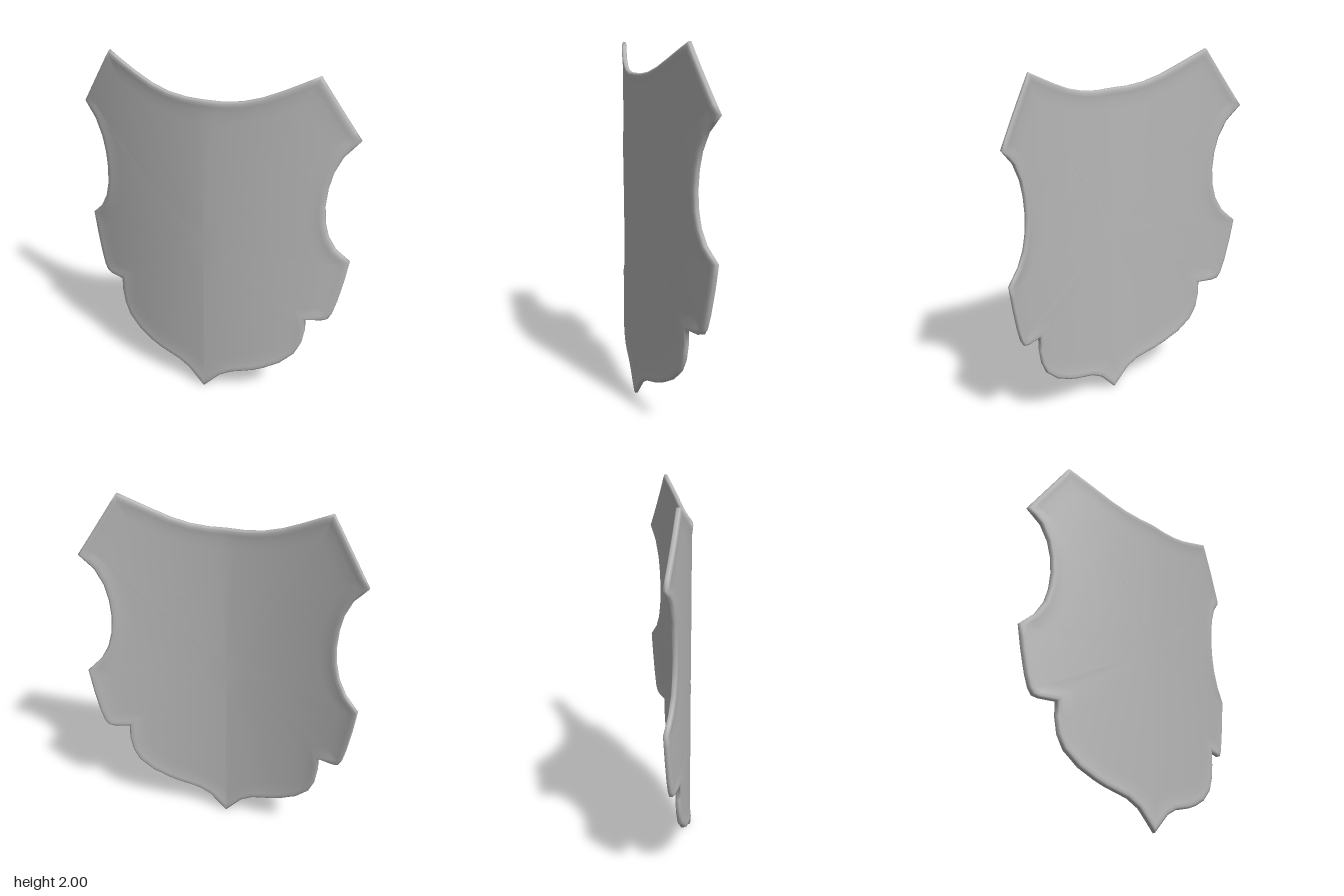
import * as THREE from 'three';
import { mergeVertices } from 'three/addons/utils/BufferGeometryUtils.js';

// Left half of the shield outline, from top centre clockwise to the bottom tip
const HALF = [
  [0, 1.838], [0.1, 1.838], [0.2, 1.85], [0.3, 1.878], [0.4, 1.92], [0.48, 1.957], [0.57, 2],
  [0.78, 1.67], [0.705, 1.585], [0.662, 1.49], [0.642, 1.4], [0.634, 1.3], [0.642, 1.2],
  [0.662, 1.12], [0.705, 1.04], [0.78, 0.965], [0.76, 0.83], [0.735, 0.7], [0.715, 0.625],
  [0.695, 0.59], [0.665, 0.58], [0.577, 0.578], [0.577, 0.5], [0.562, 0.41], [0.528, 0.335],
  [0.45, 0.26], [0.36, 0.21], [0.3, 0.185], [0.17, 0.148], [0.1, 0.108], [0, 0],
];
const CENTRE = [0, 1];

// Curved mid-surface: bowed forward with a faint ridge down the middle
const bow = (x) => 0.086 - 0.0426 * Math.abs(x) - 0.233 * x * x;

// Mirror the half outline and subdivide long edges
function outline() {
  const right = HALF.slice(1, -1).reverse().map(([x, y]) => [-x, y]);
  const corners = [...HALF, ...right];
  const points = [];
  corners.forEach((p, i) => {
    const q = corners[(i + 1) % corners.length];
    const steps = Math.max(1, Math.round(Math.hypot(q[0] - p[0], q[1] - p[1]) / 0.06));
    for (let s = 0; s < steps; s++) {
      points.push([p[0] + (q[0] - p[0]) * s / steps, p[1] + (q[1] - p[1]) * s / steps]);
    }
  });
  return points;
}

// Move every outline point inwards along its mitred normal
function inset(points, distance) {
  const n = points.length;
  const normal = (p, q) => {
    const dx = q[0] - p[0], dy = q[1] - p[1], l = Math.hypot(dx, dy);
    return [dy / l, -dx / l];
  };
  return points.map((p, i) => {
    const a = normal(points[(i + n - 1) % n], p);
    const b = normal(p, points[(i + 1) % n]);
    const mx = a[0] + b[0], my = a[1] + b[1], l = Math.hypot(mx, my);
    const d = distance * Math.min(1.5, 2 / l);
    return [p[0] + mx / l * d, p[1] + my / l * d];
  });
}

function shieldGeometry() {
  const edge = outline();
  const panel = inset(edge, 0.06);
  const scaled = (s) => panel.map(([x, y]) => [x * s, CENTRE[1] + (y - CENTRE[1]) * s]);

  // Rings of one side, from the centre of the thin panel out over the rounded rim
  const side = [0, 0.2, 0.4, 0.6, 0.8, 0.93, 1].map((s) => [scaled(s), 0.008]);
  side.push([inset(edge, 0.03), 0.012], [inset(edge, 0.011), 0.014], [edge, 0.008]);
  const rings = [...side, ...side.slice().reverse().map(([ring, z]) => [ring, -z])];

  const n = edge.length;
  const position = [], index = [];
  rings.forEach(([ring, z]) => ring.forEach(([x, y]) => position.push(x, y, bow(x) + z)));
  for (let i = 0; i < rings.length - 1; i++) {
    for (let j = 0; j < n; j++) {
      const k = (j + 1) % n;
      const a = i * n + j, b = a + n, d = i * n + k, c = d + n;
      index.push(a, d, c, a, c, b);
    }
  }
  const geometry = new THREE.BufferGeometry();
  geometry.setAttribute('position', new THREE.Float32BufferAttribute(position, 3));
  geometry.setIndex(index);
  const merged = mergeVertices(geometry, 1e-5);
  merged.computeVertexNormals();
  return merged;
}

export function createModel() {
  const group = new THREE.Group();
  group.name = 'shield';
  const grey = new THREE.MeshStandardMaterial({ color: 0xb8b8b8 });
  grey.name = 'plain grey';
  const plate = new THREE.Mesh(shieldGeometry(), grey);
  plate.name = 'shieldPlate';
  group.add(plate);
  return group;
}
